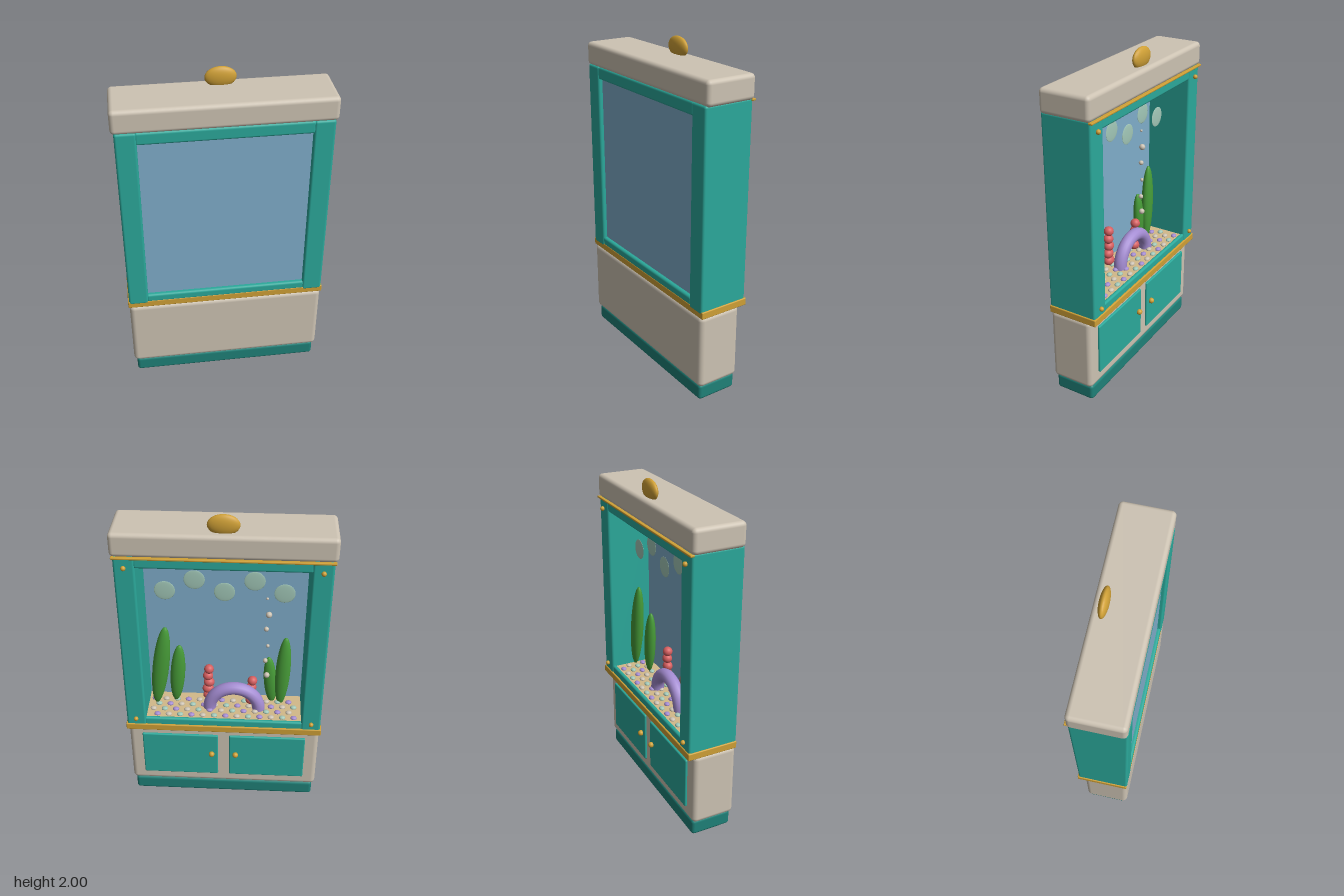
import * as THREE from 'three';
import { RoundedBoxGeometry } from 'three/addons/geometries/RoundedBoxGeometry.js';

const mat = (name, color) => {
  const m = new THREE.MeshStandardMaterial({ color });
  m.name = name;
  return m;
};

export function createModel() {
  const teal = mat('teal', 0x2ba99b);
  const darkTeal = mat('dark teal', 0x1f8178);
  const cream = mat('cream', 0xcdc3b3);
  const gold = mat('gold', 0xcfa036);
  const blue = mat('water blue', 0x80aecb);
  const pale = mat('pale green', 0xa2c8b8);
  const sand = mat('sand', 0xd2b98a);
  const green = mat('leaf green', 0x479c38);
  const coral = mat('coral red', 0xd65f60);
  const lavender = mat('lavender', 0xa48cd2);

  const model = new THREE.Group();
  model.name = 'aquariumCabinet';

  const add = (name, geometry, material, x = 0, y = 0, z = 0, parent = model) => {
    const mesh = new THREE.Mesh(geometry, material);
    mesh.name = name;
    mesh.position.set(x, y, z);
    parent.add(mesh);
    return mesh;
  };
  // Rounded box given by its limits on each axis
  const block = (name, m, x0, x1, y0, y1, z0, z1, r) =>
    add(name, new RoundedBoxGeometry(x1 - x0, y1 - y0, z1 - z0, 3, r), m,
      (x0 + x1) / 2, (y0 + y1) / 2, (z0 + z1) / 2);
  const ball = new THREE.SphereGeometry(1, 24, 16);
  const smallBall = new THREE.SphereGeometry(1, 12, 8);
  const ellipsoid = (name, m, x, y, z, rx, ry = rx, rz = rx, parent = model, geo = ball) => {
    const mesh = add(name, geo, m, x, y, z, parent);
    mesh.scale.set(rx, ry, rz);
    return mesh;
  };
  const group = (name) => {
    const g = new THREE.Group();
    g.name = name;
    model.add(g);
    return g;
  };

  // Base, cabinet and lid
  block('plinth', darkTeal, -0.575, 0.575, 0, 0.1, -0.1, 0.153, 0.02);
  block('cabinet', cream, -0.593, 0.593, 0.095, 0.56, -0.105, 0.165, 0.03);
  block('goldBand', gold, -0.6, 0.6, 0.555, 0.6, -0.148, 0.163, 0.006);
  block('lid', cream, -0.61, 0.61, 1.76, 1.9, -0.145, 0.163, 0.025);
  block('goldStrip', gold, -0.6, 0.6, 1.753, 1.765, -0.155, -0.13, 0.004);
  ellipsoid('finial', gold, 0, 1.94, -0.085, 0.088, 0.06, 0.027);

  // Tank frame
  for (const s of [1, -1]) {
    const [a, b] = s > 0 ? [0.475, 0.593] : [-0.593, -0.475];
    block('tankSide', teal, a, b, 0.582, 1.768, -0.142, 0.165, 0.014);
    for (const y of [0.645, 1.7]) ellipsoid('frameStud', gold, s * 0.535, y, -0.15, 0.014);
    // Doors with their knobs
    const [c, d] = s > 0 ? [0.035, 0.51] : [-0.51, -0.035];
    block('door', teal, c, d, 0.17, 0.495, -0.118, -0.095, 0.008);
    ellipsoid('doorKnob', gold, s * 0.075, 0.35, -0.128, 0.018);
  }
  block('tankTop', teal, -0.485, 0.485, 1.692, 1.768, -0.138, 0.162, 0.014);
  block('frontRail', teal, -0.485, 0.485, 0.59, 0.645, 0.125, 0.162, 0.014);
  block('backRail', teal, -0.485, 0.485, 0.59, 0.645, -0.138, -0.112, 0.012);
  add('waterPane', new THREE.BoxGeometry(0.96, 1.08, 0.01), blue, 0, 1.165, 0.133);
  add('sandBed', new THREE.BoxGeometry(0.96, 0.045, 0.25), sand, 0, 0.6175, 0.005);

  // Pebbles in staggered rows
  const pebbles = group('pebbles');
  const pebbleColours = [lavender, cream, pale];
  for (let row = 0; row < 4; row++)
    for (let i = 0; i < 13; i++) {
      const x = -0.43 + i * 0.07 + (row % 2) * 0.03;
      ellipsoid('pebble', pebbleColours[(i * 2 + row) % 3], x, 0.643, -0.09 + row * 0.05,
        0.02, 0.012, 0.017, pebbles, smallBall);
    }

  // Water plants: x, z, bottom, top, radius, lean
  const plants = group('plants');
  for (const [x, z, y0, y1, r, lean] of [
    [0.385, 0.0, 0.66, 1.23, 0.05, 0.13],
    [0.29, 0.045, 0.65, 1.07, 0.045, 0.08],
    [-0.28, 0.09, 0.62, 0.97, 0.04, -0.08],
    [-0.355, 0.07, 0.62, 1.13, 0.045, 0.04],
  ]) {
    const leaf = ellipsoid('plantLeaf', green, x, (y0 + y1) / 2, z, r, (y1 - y0) / 2, r * 0.75, plants);
    leaf.rotation.z = lean;
  }

  // Coral stacks of shrinking balls: x, z, top
  const corals = group('corals');
  for (const [x, z, top] of [[0.1, 0.075, 0.875], [-0.17, 0.05, 0.815]])
    for (let i = 0, y = top; y > 0.63; i++, y -= 0.05)
      ellipsoid('coralBall', coral, x + (i % 2) * 0.006, y, z, 0.03 + i * 0.002, 0.03, 0.03, corals);

  // Half-ring arch on the sand
  add('arch', new THREE.TorusGeometry(0.152, 0.04, 16, 32, Math.PI), lavender, -0.06, 0.638, 0.0);

  // Rising bubbles: height, radius
  const bubbles = group('bubbles');
  [[0.86, 0.018], [0.97, 0.015], [1.08, 0.011], [1.2, 0.015], [1.3, 0.019], [1.41, 0.008]]
    .forEach(([y, r], i) =>
      ellipsoid('bubble', cream, -0.25 + (i % 2 ? 0.006 : -0.006), y, 0.053, r, r, r, bubbles, smallBall));

  // Light glints hanging near the water surface
  const glints = group('lightGlints');
  for (let i = -2; i <= 2; i++)
    ellipsoid('lightGlint', pale, i * 0.17, i % 2 ? 1.553 : 1.478, 0.003, 0.06, 0.06, 0.004, glints);

  return model;
}
